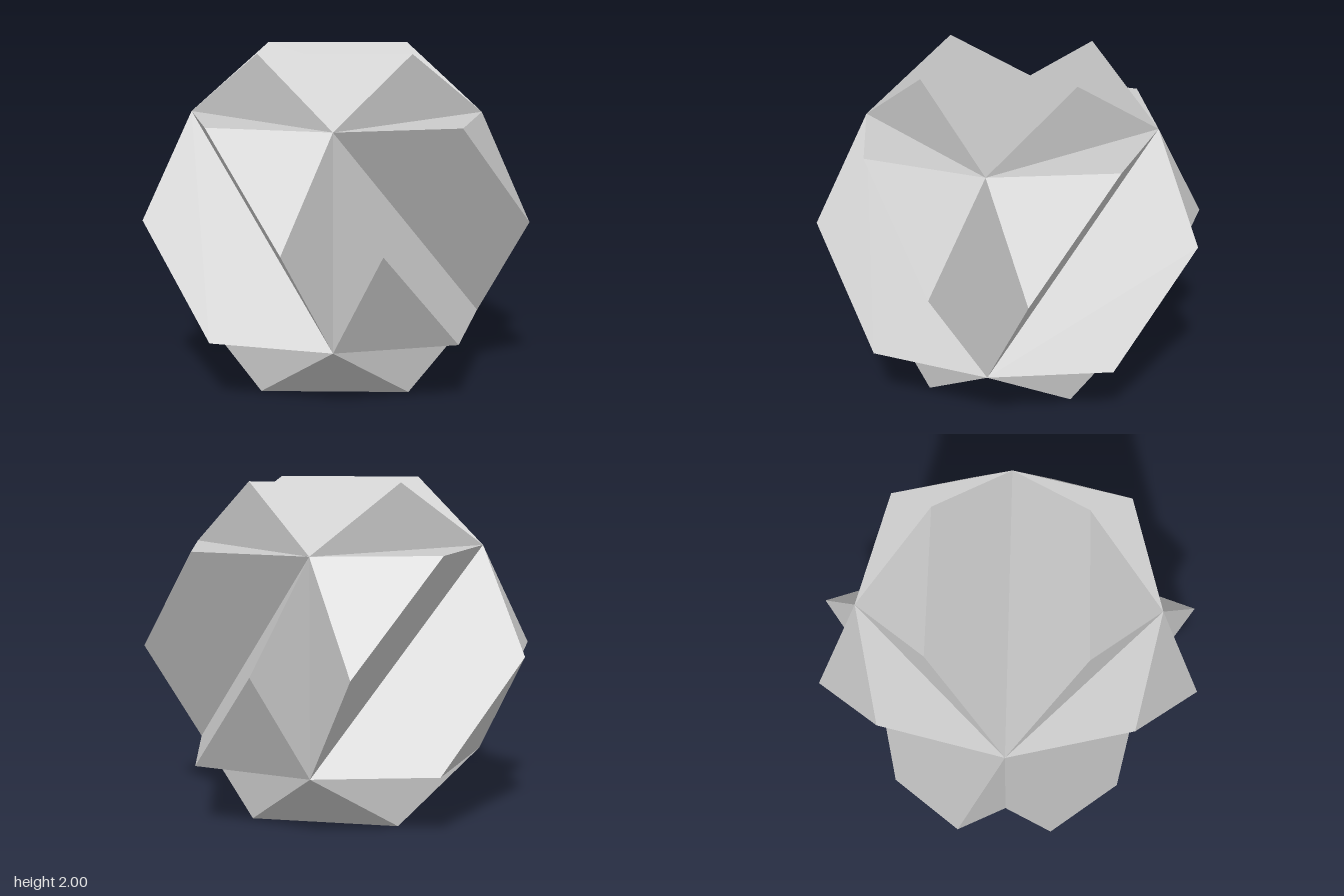
import * as THREE from 'three';

const K = (Math.sqrt(5) - 1) / 2; // half edge of the inner cube; ridges lie at distance 1

// Append a convex polygon as a fan, wound to face away from the centre
function addFace(out, pts) {
  const normal = pts[1].clone().sub(pts[0]).cross(pts[2].clone().sub(pts[0]));
  const p = normal.dot(pts[0]) < 0 ? [...pts].reverse() : pts;
  for (let i = 1; i < p.length - 1; i++) {
    for (const q of [p[0], p[i], p[i + 1]]) out.push(q.x, q.y, q.z);
  }
}

// Two parallel ridges on one cube side, with a valley along the diagonal u + v
function ridgedSide(n, u, v) {
  const at = (a, b, h) => new THREE.Vector3()
    .addScaledVector(u, a * K).addScaledVector(v, b * K).addScaledVector(n, h);
  const out = [];
  for (const s of [1, -1]) {
    const start = at(s, s, K), end = at(-s, -s, K), corner = at(s, -s, K);
    const ridgeA = at(s, 0, 1), ridgeB = at(0, -s, 1);
    addFace(out, [start, ridgeA, ridgeB, end]); // valley slope
    addFace(out, [ridgeA, corner, ridgeB]);     // corner slope
    addFace(out, [start, corner, ridgeA]);      // gable ends
    addFace(out, [corner, end, ridgeB]);
  }
  const geometry = new THREE.BufferGeometry();
  geometry.setAttribute('position', new THREE.Float32BufferAttribute(out, 3));
  geometry.computeVertexNormals();
  return geometry;
}

export function createModel() {
  const group = new THREE.Group();
  group.name = 'ridgedPolyhedron';
  const material = new THREE.MeshStandardMaterial({ color: 0xcccccc, flatShading: true });
  const vec = (x, y, z) => new THREE.Vector3(x, y, z);

  // Each pair of opposite sides is mirrored through the centre
  const sides = [
    ['topSide', 'bottomSide', vec(0, 1, 0), vec(1, 0, 0), vec(0, 0, 1)],
    ['frontSide', 'backSide', vec(0, 0, 1), vec(1, 0, 0), vec(0, -1, 0)],
    ['leftSide', 'rightSide', vec(1, 0, 0), vec(0, 1, 0), vec(0, 0, -1)],
  ];
  for (const [name, oppositeName, n, u, v] of sides) {
    for (const [label, normal] of [[name, n], [oppositeName, n.clone().negate()]]) {
      const mesh = new THREE.Mesh(ridgedSide(normal, u, v), material);
      mesh.name = label;
      mesh.position.y = 1;
      group.add(mesh);
    }
  }
  return group;
}
